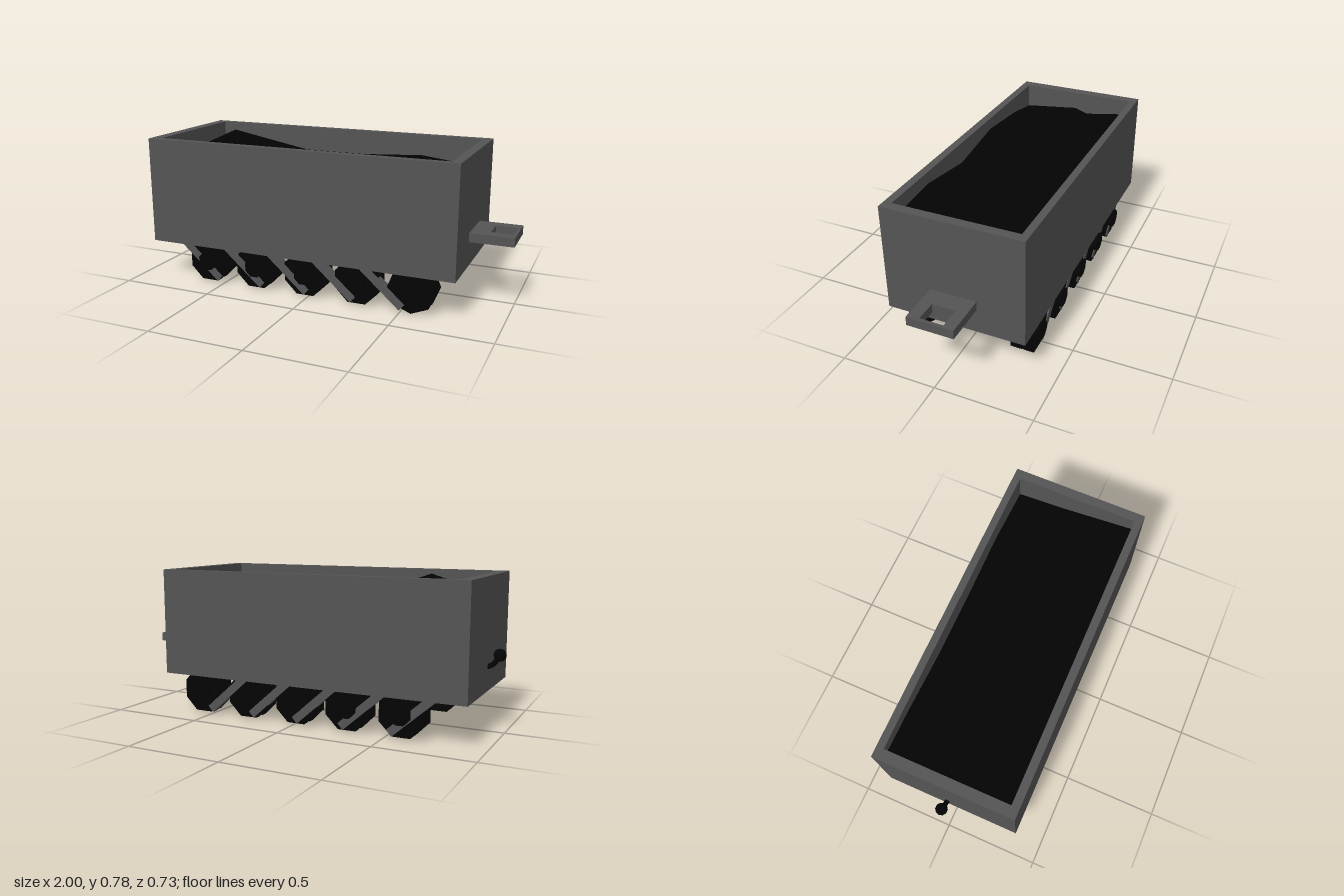
import * as THREE from 'three';

const paint = (name, color) => {
  const m = new THREE.MeshStandardMaterial({ color });
  m.name = name;
  m.flatShading = true;
  return m;
};

// Rectangle outline with a rectangular hole, in x and z
function framePlate(x0, x1, z0, z1, hx0, hx1, hz0, hz1, depth) {
  const corners = (a, b, c, d) => [[a, d], [b, d], [b, c], [a, c]].map(p => new THREE.Vector2(p[0], -p[1]));
  const shape = new THREE.Shape(corners(x0, x1, z0, z1));
  shape.holes.push(new THREE.Path(corners(hx0, hx1, hz0, hz1).reverse()));
  return new THREE.ExtrudeGeometry(shape, { depth, bevelEnabled: false }).rotateX(-Math.PI / 2);
}

export function createModel() {
  const model = new THREE.Group();
  model.name = 'coalWagon';
  const steel = paint('grey steel', 0x545454);
  const black = paint('black iron', 0x040404);
  const coal = paint('coal', 0x030303);
  coal.side = THREE.DoubleSide;

  const add = (name, geometry, material, x = 0, y = 0, z = 0, parent = model) => {
    const mesh = new THREE.Mesh(geometry, material);
    mesh.name = name;
    mesh.position.set(x, y, z);
    parent.add(mesh);
    return mesh;
  };

  // Open-topped body
  add('bodyWalls', framePlate(-0.912, 0.778, -0.363, 0.363, -0.856, 0.728, -0.325, 0.322, 0.567), steel, 0, 0.206);
  add('bodyFloor', new THREE.BoxGeometry(1.66, 0.04, 0.7), steel, -0.067, 0.2265);

  // Uneven heap of coal: heights on a coarse grid
  const xs = [-0.856, -0.63, -0.3, 0.05, 0.4, 0.728];
  const zs = [-0.325, -0.065, 0.322];
  const heights = [
    [0.69, 0.68, 0.64, 0.64, 0.66, 0.62],
    [0.65, 0.776, 0.66, 0.63, 0.68, 0.64],
    [0.64, 0.68, 0.71, 0.66, 0.71, 0.69],
  ];
  const heap = new THREE.PlaneGeometry(1, 1, xs.length - 1, zs.length - 1);
  for (let j = 0; j < zs.length; j++) {
    for (let i = 0; i < xs.length; i++) {
      heap.attributes.position.setXYZ(j * xs.length + i, xs[i], heights[j][i], zs[j]);
    }
  }
  heap.computeVertexNormals();
  add('coalHeap', heap, coal);

  // Hitch plate with a square eye
  add('hitchPlate', framePlate(0.77, 1, -0.12, 0.12, 0.873, 0.983, -0.063, 0.058, 0.046), steel, 0, 0.336);

  // Coupling ball on a bent stem
  const bend = new THREE.CatmullRomCurve3([
    new THREE.Vector3(-0.9, 0.325, -0.018),
    new THREE.Vector3(-0.935, 0.342, -0.018),
    new THREE.Vector3(-0.965, 0.385, -0.018),
  ]);
  add('couplingStem', new THREE.TubeGeometry(bend, 6, 0.013, 8), black);
  add('couplingBall', new THREE.SphereGeometry(0.032, 10, 8), black, -0.968, 0.39, -0.018);

  // Eight-sided wheels: two rims, a groove and an outer hub
  const disc = (radius, z0, z1) =>
    new THREE.CylinderGeometry(radius, radius, z1 - z0, 8).rotateX(Math.PI / 2).translate(0, 0, (z0 + z1) / 2);
  const wheelParts = {
    innerRim: disc(0.124, 0.237, 0.267),
    groove: disc(0.114, 0.267, 0.298),
    outerRim: disc(0.124, 0.298, 0.331),
    hub: disc(0.053, 0.331, 0.359),
  };
  const strut = new THREE.BoxGeometry(0.31, 0.042, 0.036);

  // The running gear sits slightly towards the back
  const gear = new THREE.Group();
  gear.name = 'runningGear';
  gear.position.z = -0.003;
  model.add(gear);
  for (const side of [1, -1]) {
    const label = side > 0 ? 'front' : 'back';
    for (let i = 0; i < 5; i++) {
      const wheel = new THREE.Group();
      wheel.name = label + 'Wheel' + (i + 1);
      wheel.position.set(-0.585 + i * 0.285, 0.125, 0);
      if (side < 0) wheel.rotation.y = Math.PI;
      gear.add(wheel);
      const turn = side > 0 && i === 4 ? 0 : Math.PI / 8;
      for (const [name, geometry] of Object.entries(wheelParts)) {
        add(name, geometry, black, 0, 0, 0, wheel).rotation.z = turn;
      }
      // Slanted strut from the body down across the wheel
      const bar = add(label + 'Strut' + (i + 1), strut, steel, -0.64 + i * 0.258, 0.128, side * 0.317, gear);
      bar.rotation.z = -0.72;
    }
  }
  return model;
}
